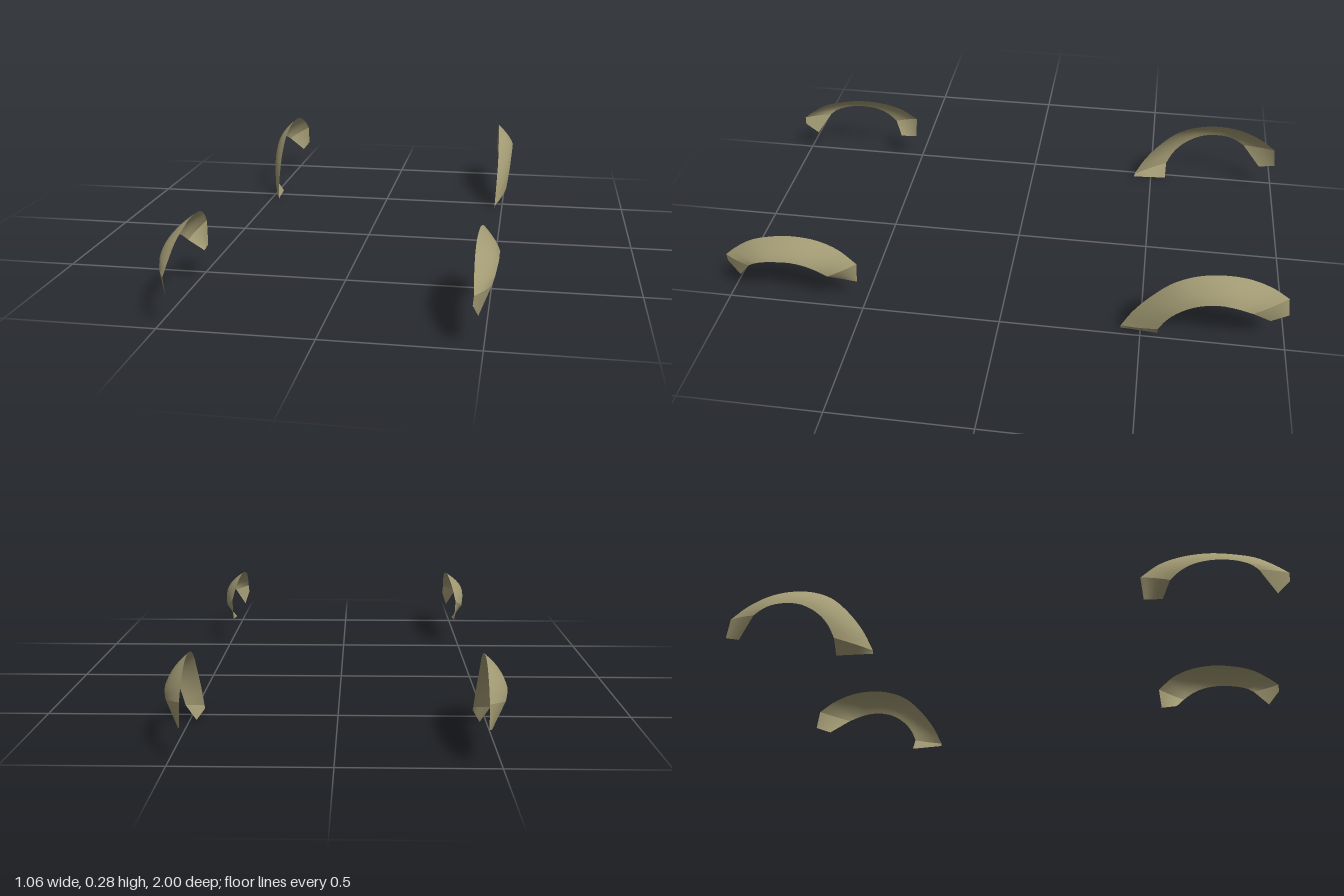
import * as THREE from 'three';

const paint = new THREE.MeshStandardMaterial({ color: 0xa39b74, side: THREE.DoubleSide });
const ACROSS = 6, ALONG = 40;

// Edges as [x, y, z], front to back. body = edge on the bodywork, lip = edge at the wheel.
// start and end are the tapered tips: [body point, lip point].
const FRONT = {
  body: [[0.468, 0.17, 1], [0.465, 0.2, 0.965], [0.462, 0.242, 0.9], [0.461, 0.266, 0.82],
    [0.463, 0.277, 0.74], [0.467, 0.27, 0.65], [0.475, 0.244, 0.575], [0.485, 0.195, 0.51]],
  lip: [[0.515, 0.167, 0.9], [0.522, 0.185, 0.875], [0.527, 0.2, 0.835], [0.53, 0.208, 0.79],
    [0.53, 0.21, 0.74], [0.53, 0.202, 0.69], [0.527, 0.182, 0.645], [0.52, 0.155, 0.61]],
  start: [[0.465, 0.14, 1], [0.48, 0.09, 0.955]],
  end: [[0.482, 0.11, 0.517], [0.475, 0.11, 0.58]],
};
const REAR = {
  body: [[0.47, 0.012, -0.43], [0.473, 0.09, -0.47], [0.475, 0.17, -0.53], [0.473, 0.235, -0.6],
    [0.469, 0.27, -0.68], [0.466, 0.281, -0.765], [0.462, 0.271, -0.85], [0.458, 0.238, -0.93],
    [0.455, 0.195, -0.99]],
  lip: [[0.513, 0.052, -0.56], [0.52, 0.1, -0.583], [0.525, 0.14, -0.615], [0.528, 0.174, -0.66],
    [0.53, 0.193, -0.705], [0.53, 0.2, -0.76], [0.53, 0.195, -0.805], [0.526, 0.183, -0.84],
    [0.518, 0.168, -0.87]],
  start: [[0.468, 0, -0.43], [0.478, 0, -0.56]],
  end: [[0.455, 0.12, -1], [0.47, 0.1, -0.94]],
};

// A cross-section from the body edge to the lip, bowed outwards
function section(body, lip, bow) {
  return Array.from({ length: ACROSS + 1 }, (_, i) => {
    const t = i / ACROSS;
    const p = body.clone().lerp(lip, t);
    p.x += bow * 4 * t * (1 - t);
    return p;
  });
}

// Skin a run of cross-sections; side is +1 for left, -1 for right
function skin(name, sections, side) {
  const positions = sections.flat().flatMap(p => [p.x * side, p.y, p.z]);
  const index = [];
  const n = ACROSS + 1;
  for (let r = 0; r < sections.length - 1; r++) {
    for (let c = 0; c < ACROSS; c++) {
      const a = r * n + c, b = a + 1, d = a + n, e = d + 1;
      if (side > 0) index.push(a, b, d, b, e, d);
      else index.push(a, d, b, b, d, e);
    }
  }
  const geometry = new THREE.BufferGeometry();
  geometry.setAttribute('position', new THREE.Float32BufferAttribute(positions, 3));
  geometry.setIndex(index);
  geometry.computeVertexNormals();
  const mesh = new THREE.Mesh(geometry, paint);
  mesh.name = name;
  return mesh;
}

function wheelArch(name, shape, side) {
  const vec = p => new THREE.Vector3(...p);
  const body = new THREE.CatmullRomCurve3(shape.body.map(vec));
  const lip = new THREE.CatmullRomCurve3(shape.lip.map(vec));
  const arch = [];
  for (let i = 0; i <= ALONG; i++) {
    const t = i / ALONG;
    arch.push(section(body.getPoint(t), lip.getPoint(t), 0.004 + 0.006 * Math.sin(Math.PI * t)));
  }
  const startTip = section(...shape.start.map(vec), 0);
  const endTip = section(...shape.end.map(vec), 0);

  const group = new THREE.Group();
  group.name = name;
  // Smooth arch, with separate tips so the creases stay sharp
  group.add(
    skin('archPanel', arch, side),
    skin('frontTip', [startTip, arch[0]], side),
    skin('rearTip', [arch[ALONG], endTip], side),
  );
  return group;
}

export function createModel() {
  const model = new THREE.Group();
  model.name = 'wheelArchFlares';
  for (const [label, side] of [['Left', 1], ['Right', -1]]) {
    model.add(wheelArch(`front${label}Flare`, FRONT, side));
    model.add(wheelArch(`rear${label}Flare`, REAR, side));
  }
  return model;
}
